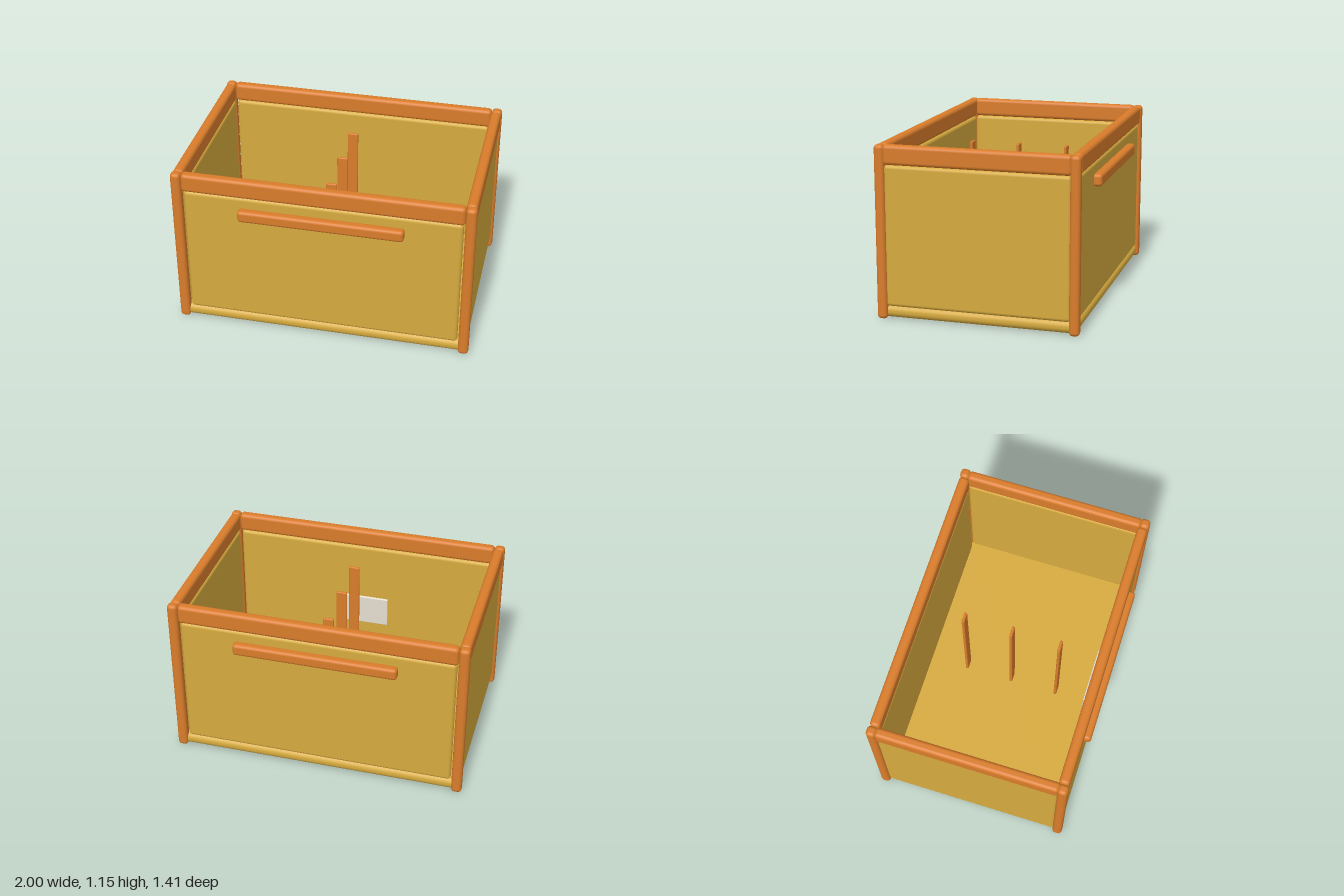
import * as THREE from 'three';
import { RoundedBoxGeometry } from 'three/addons/geometries/RoundedBoxGeometry.js';

export function createModel() {
  const crate = new THREE.Group();
  crate.name = 'storageCrate';

  const material = (name, color) => {
    const m = new THREE.MeshStandardMaterial({ color });
    m.name = name;
    return m;
  };
  const orange = material('orangeFrame', 0xd97c2b);
  const yellow = material('yellowPanel', 0xd6aa3e);
  const white = material('whiteCard', 0xe6dfd0);

  // Rounded block given by its minimum and maximum corners
  const block = (name, mat, min, max, radius) => {
    const [w, h, d] = max.map((v, i) => v - min[i]);
    const mesh = new THREE.Mesh(new RoundedBoxGeometry(w, h, d, 4, radius), mat);
    mesh.position.set(min[0] + w / 2, min[1] + h / 2, min[2] + d / 2);
    mesh.name = name;
    crate.add(mesh);
    return mesh;
  };
  // Block placed on the +x or +z side, and mirrored to the opposite side
  const mirrored = (names, axis, mat, min, max, radius) => {
    const first = block(names[0], mat, min, max, radius);
    const second = first.clone();
    second.name = names[1];
    second.position[axis] *= -1;
    crate.add(second);
  };

  // Floor
  block('floor', yellow, [-0.975, 0.005, -0.655], [0.975, 0.09, 0.655], 0.04);

  // Corner posts
  for (const [side, x] of [['left', 0.93], ['right', -1]]) {
    mirrored([side + 'FrontPost', side + 'BackPost'], 'z', orange,
      [x, 0, 0.605], [x + 0.07, 1.15, 0.672], 0.025);
  }

  // Wall panels
  mirrored(['frontPanel', 'backPanel'], 'z', yellow,
    [-0.92, 0.085, 0.6], [0.92, 1.02, 0.655], 0.025);
  mirrored(['leftPanel', 'rightPanel'], 'x', yellow,
    [0.93, 0.085, -0.612], [0.985, 1.02, 0.612], 0.025);

  // Top rails
  mirrored(['frontRail', 'backRail'], 'z', orange,
    [-0.93, 1.02, 0.597], [0.93, 1.15, 0.667], 0.025);
  mirrored(['leftRail', 'rightRail'], 'x', orange,
    [0.926, 1.02, -0.615], [0.995, 1.15, 0.615], 0.025);

  // Handles
  mirrored(['frontHandle', 'backHandle'], 'z', orange,
    [-0.548, 0.863, 0.64], [0.548, 0.945, 0.707], 0.022);

  // Upright slats inside
  for (const z of [-0.335, 0, 0.335]) {
    block('slat', orange, [-0.037, 0.08, z - 0.01], [0.037, 1.01, z + 0.01], 0.008);
  }

  // Card behind the front panel
  block('card', white, [-0.19, 0.4, 0.567], [0.19, 0.62, 0.585], 0.007);

  return crate;
}
